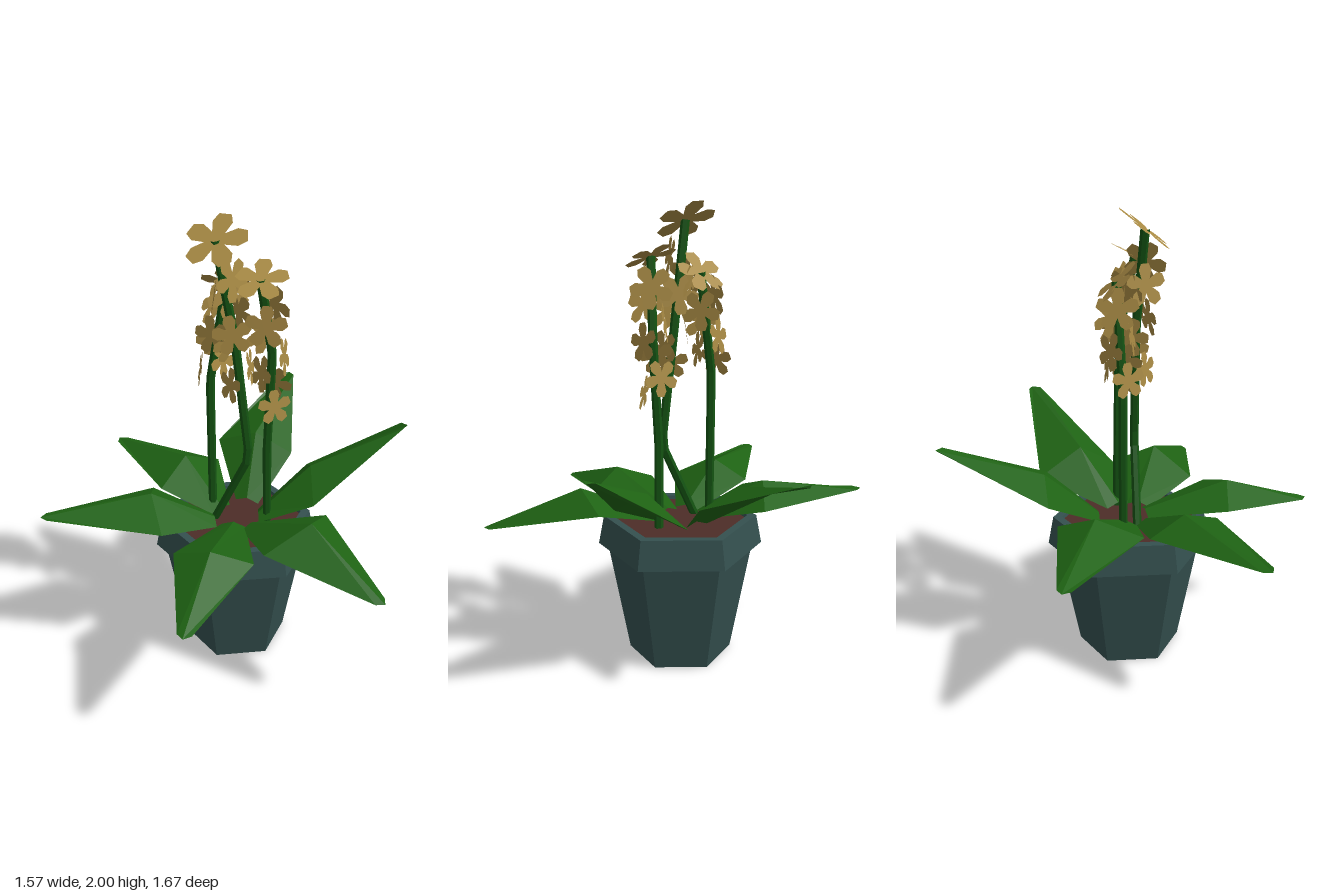
import * as THREE from 'three';

const mat = (color, side = THREE.FrontSide) =>
  new THREE.MeshStandardMaterial({ color, side, flatShading: true });
const V = (x, y, z) => new THREE.Vector3(x, y, z);

const potMat = mat(0x34504f);
const soilMat = mat(0x4d2d27);
const leafMat = mat(0x1e6213, THREE.DoubleSide);
const stemMat = mat(0x145212);
const petalMat = mat(0xa88a44, THREE.DoubleSide);

function add(parent, name, geometry, material) {
  const mesh = new THREE.Mesh(geometry, material);
  mesh.name = name;
  parent.add(mesh);
  return mesh;
}

function addGroup(parent, name) {
  const group = new THREE.Group();
  group.name = name;
  parent.add(group);
  return group;
}

// Surface through rows of points, all rows the same length
function loft(rows) {
  const n = rows[0].length, index = [];
  for (let i = 0; i < rows.length - 1; i++) {
    for (let j = 0; j < n - 1; j++) {
      const a = i * n + j, b = a + n;
      index.push(a, b, a + 1, a + 1, b, b + 1);
    }
  }
  const g = new THREE.BufferGeometry().setFromPoints(rows.flat());
  g.setIndex(index);
  g.computeVertexNormals();
  return g;
}

// Ridged leaf: narrow base, wide folded middle, blunt tip
function leafGeometry(tip, ridge, edgeA, edgeB, baseRadius) {
  const out = V(tip.x, 0, tip.z).normalize();
  const side = edgeB.clone().sub(edgeA).setY(0).normalize();
  const base = out.clone().multiplyScalar(baseRadius).setY(0.64);
  const back = tip.clone().addScaledVector(out, -0.025);
  const beside = (p, d) => p.clone().addScaledVector(side, d);
  return loft([
    [beside(base, -0.055), base.clone().setY(0.66), beside(base, 0.055)],
    [edgeA, ridge, edgeB],
    [beside(back, -0.03), tip, beside(back, 0.03)],
  ]);
}

// Flat five-petalled blossom of unit radius, facing +z
function blossomGeometry() {
  const points = [];
  for (let i = 0; i < 5; i++) {
    const mid = Math.PI / 2 + (i * 2 * Math.PI) / 5;
    for (const [r, a] of [[0.34, -0.63], [0.74, -0.44], [0.97, -0.2], [0.97, 0.2], [0.74, 0.44]])
      points.push(new THREE.Vector2(r * Math.cos(mid + a), r * Math.sin(mid + a)));
  }
  return new THREE.ShapeGeometry(new THREE.Shape(points));
}

// Point at height y on a stalk made of straight segments
function pointAt(points, y) {
  const i = points.findIndex((p) => p.y >= y);
  const a = points[i - 1], b = points[i];
  return a.clone().lerp(b, (y - a.y) / (b.y - a.y));
}

export function createModel() {
  const root = new THREE.Group();
  root.name = 'pottedFlower';

  // Hexagonal pot with overhanging rim
  const pot = addGroup(root, 'pot');
  pot.position.set(-0.01, 0, -0.015);
  const profile = [[0, 0], [0.23, 0], [0.325, 0.515], [0.365, 0.515], [0.34, 0.645], [0.3, 0.645], [0.29, 0.6]];
  add(pot, 'potBody', new THREE.LatheGeometry(profile.map(([x, y]) => new THREE.Vector2(x, y)), 6), potMat);
  add(pot, 'soil', new THREE.CylinderGeometry(0.3, 0.28, 0.04, 6), soilMat).position.y = 0.61;

  // Six leaves: tip, middle of ridge, both side corners, base distance
  const leaves = addGroup(root, 'leaves');
  const addLeaf = (...data) => add(leaves, 'leaf', leafGeometry(...data), leafMat);
  addLeaf(V(-0.065, 1.01, -0.84), V(-0.065, 0.88, -0.385), V(0.12, 0.81, -0.38), V(-0.25, 0.81, -0.37), 0.15);
  addLeaf(V(0.645, 1.035, -0.445), V(0.27, 0.86, -0.22), V(0.34, 0.75, -0.065), V(0.19, 0.75, -0.41), 0.1);
  addLeaf(V(0.78, 0.63, 0.33), V(0.4, 0.8, 0.14), V(0.25, 0.7, 0.3), V(0.405, 0.73, -0.05), 0.09);
  addLeaf(V(0.13, 0.63, 0.83), V(0.07, 0.76, 0.44), V(-0.11, 0.69, 0.42), V(0.23, 0.69, 0.36), 0.06);
  addLeaf(V(-0.725, 0.745, 0.475), V(-0.33, 0.8, 0.19), V(-0.4, 0.73, 0.04), V(-0.2, 0.71, 0.35), 0.1);
  addLeaf(V(-0.785, 0.73, -0.325), V(-0.34, 0.8, -0.18), V(-0.24, 0.72, -0.335), V(-0.37, 0.72, 0.02), 0.1);

  // Each spike is a six-sided stalk, side blossoms winding up it and one at the tip
  const blossom = blossomGeometry();
  function addSpike({ points, low, high, start, tipFacing, tipRadius }) {
    const spike = addGroup(root, 'flowerSpike');
    const path = new THREE.CurvePath();
    for (let i = 1; i < points.length; i++) path.add(new THREE.LineCurve3(points[i - 1], points[i]));
    add(spike, 'stem', new THREE.TubeGeometry(path, 18, 0.019, 6), stemMat);

    const addFlower = (position, facing, radius, roll) => {
      const flower = add(spike, 'flower', blossom, petalMat);
      flower.position.copy(position);
      flower.lookAt(position.clone().add(facing));
      flower.rotateZ(roll);
      flower.scale.setScalar(radius);
    };
    const count = 7;
    for (let i = 0; i < count; i++) {
      const t = i / (count - 1), angle = start + i * 2.4;
      const facing = V(Math.sin(angle), 0.15, Math.cos(angle));
      const position = pointAt(points, low + (high - low) * t).addScaledVector(facing, 0.05);
      addFlower(position, facing, 0.078 + 0.015 * t, i * 0.5);
    }
    addFlower(points.at(-1), tipFacing, tipRadius, 0);
  }
  addSpike({
    points: [V(-0.14, 0.61, -0.05), V(-0.145, 1.28, -0.05), V(-0.075, 1.72, -0.07)],
    low: 1.33, high: 1.67, start: -1.1, tipFacing: V(-0.1, 0.7, -0.7), tipRadius: 0.11,
  });
  addSpike({
    points: [V(-0.11, 0.61, 0.015), V(0.065, 0.98, 0.015), V(0, 1.5, 0.015), V(-0.07, 1.925, 0.045)],
    low: 1.32, high: 1.77, start: -0.6, tipFacing: V(0, 0.8, 0.62), tipRadius: 0.135,
  });
  addSpike({
    points: [V(0.125, 0.61, -0.06), V(0.12, 1, -0.055), V(0.14, 1.45, -0.045), V(0.11, 1.785, 0.02)],
    low: 1.22, high: 1.66, start: 0.8, tipFacing: V(0.1, 0.85, 0.45), tipRadius: 0.115,
  });

  return root;
}
